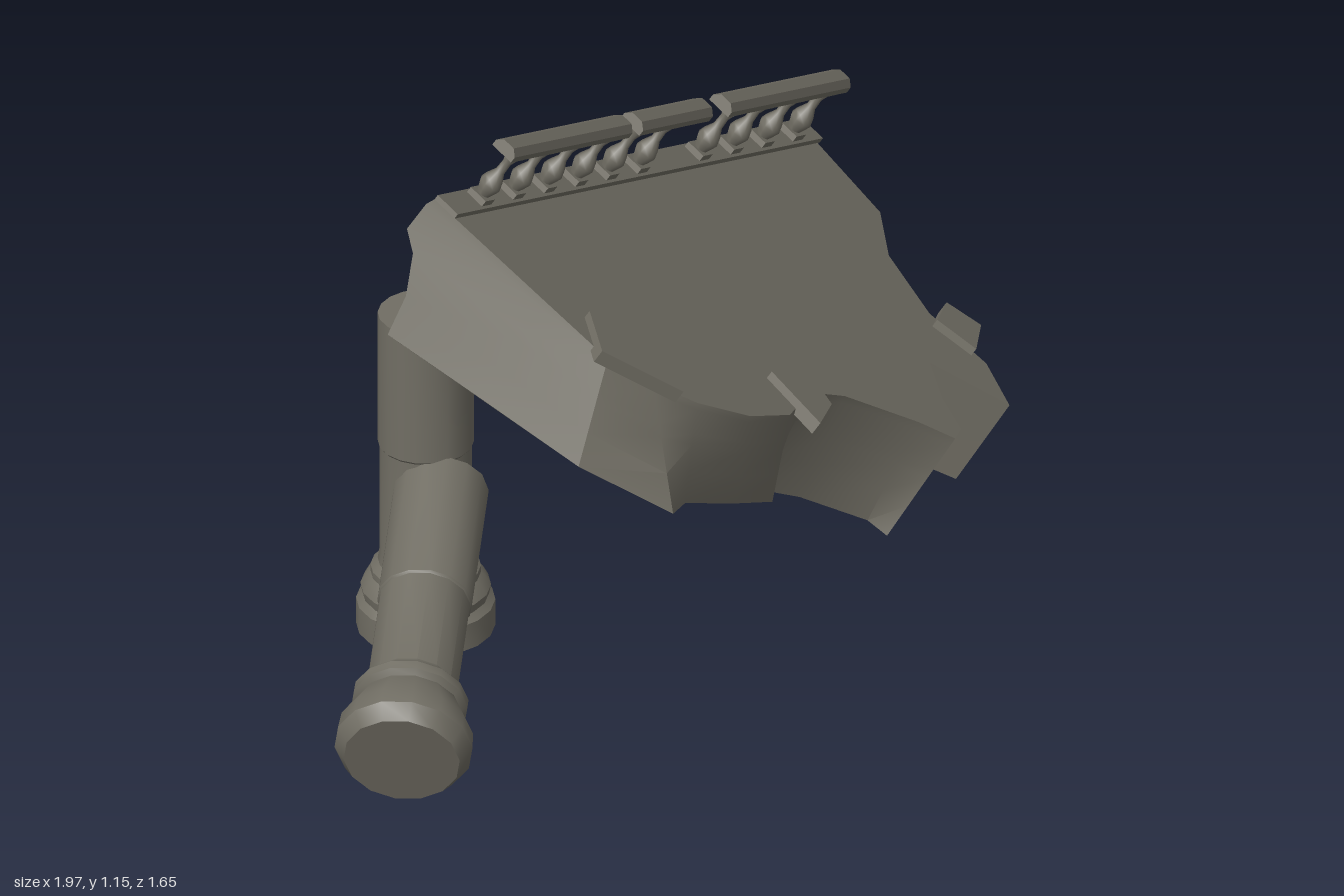
import * as THREE from 'three';
import { toCreasedNormals } from 'three/addons/utils/BufferGeometryUtils.js';

const V = (x, y, z) => new THREE.Vector3(x, y, z);

export function createModel() {
  const model = new THREE.Group();
  const stone = new THREE.MeshStandardMaterial({ color: 0x716e64 });
  stone.name = 'weathered stone';

  const add = (parent, name, geo) => {
    const mesh = new THREE.Mesh(geo, stone);
    mesh.name = name;
    parent.add(mesh);
    return mesh;
  };
  const lathe = (profile, sides) => new THREE.LatheGeometry(
    profile.map(([r, y]) => new THREE.Vector2(r, y)), sides);

  // Tilted terrace frame: x along the railing, y out of the floor, z toward the broken edge
  const origin = V(-0.45, 1.05, 0.12);
  const u = V(0.771, -0.36, -0.526).normalize();
  const n = V(0.533, 0.817, 0.222);
  n.addScaledVector(u, -n.dot(u)).normalize();
  const frame = new THREE.Matrix4().makeBasis(u, n, u.clone().cross(n)).setPosition(origin);
  const inverse = frame.clone().invert();
  const terrace = new THREE.Group();
  terrace.name = 'terrace';
  terrace.applyMatrix4(frame);
  model.add(terrace);
  const floorPoint = (x, z) => {
    const y = origin.y - (n.x * (x - origin.x) + n.z * (z - origin.z)) / n.y;
    return V(x, y, z).applyMatrix4(inverse);
  };

  // Broken rim: floor x, z, then the matching underside point x, y, z
  const rim = [
    [-0.33, 0.36, -0.47, 0.70, 0.32], [-0.26, 0.50, -0.35, 0.61, 0.54],
    [-0.17, 0.53, -0.17, 0.49, 0.62], [-0.07, 0.54, -0.11, 0.47, 0.56],
    [0.07, 0.51, 0.04, 0.40, 0.50], [0.20, 0.44, 0.17, 0.33, 0.42],
    [0.32, 0.31, 0.20, 0.28, 0.27], [0.42, 0.27, 0.33, 0.21, 0.24],
    [0.60, 0.26, 0.50, 0.10, 0.22], [0.68, 0.27, 0.53, 0.07, 0.25],
    [0.72, 0.22, 0.58, 0.11, 0.16], [0.73, 0.12, 0.62, 0.13, 0.07],
    [0.77, -0.01, 0.67, 0.10, -0.04], [0.93, 0.04, 0.82, 0.01, 0.01],
    [0.95, -0.10, 0.84, 0.03, -0.15], [0.88, -0.22, 0.78, 0.10, -0.28],
    [0.88, -0.40, 0.77, 0.12, -0.46], [0.95, -0.57, 0.80, 0.11, -0.60],
  ];
  // Cornice section along the railing side: depth below the floor, inset
  const cornice = [[0, -0.02], [0.02, -0.028], [0.09, -0.028], [0.12, 0.015], [0.2, 0.06], [0.29, 0.08]];
  const length = 1.75;
  const rings = cornice.map(([depth, inset]) => [
    V(0, -depth, inset),
    ...rim.map(([x, z, bx, by, bz]) =>
      floorPoint(x, z).lerp(V(bx, by, bz).applyMatrix4(inverse), depth / 0.29)),
    V(length, -depth, inset),
  ]);
  const corners = [];
  const tri = (...p) => p.forEach((q) => corners.push(q.x, q.y, q.z));
  const top = rings[0], bottom = rings[rings.length - 1];
  for (const [a, b, c] of THREE.ShapeUtils.triangulateShape(top.map((p) => new THREE.Vector2(p.x, -p.z)), [])) {
    tri(top[a], top[b], top[c]);
    tri(bottom[c], bottom[b], bottom[a]);
  }
  for (let k = 0; k + 1 < rings.length; k++) {
    for (let i = 0; i < top.length; i++) {
      const j = (i + 1) % top.length, hi = rings[k], lo = rings[k + 1];
      tri(lo[i], lo[j], hi[j]);
      tri(lo[i], hi[j], hi[i]);
    }
  }
  const slab = new THREE.BufferGeometry();
  slab.setAttribute('position', new THREE.Float32BufferAttribute(corners, 3));
  add(terrace, 'brokenSlab', toCreasedNormals(slab, 0.6));

  // Loose shards resting on the floor
  const shards = [
    [[-0.24, 0.36], [-0.29, 0.51], [-0.12, 0.55], [-0.09, 0.40]],
    [[0.21, 0.32], [0.25, 0.46], [0.33, 0.36], [0.33, 0.27]],
    [[0.86, -0.17], [0.92, -0.11], [0.99, -0.22], [0.93, -0.26]],
  ];
  for (const pts of shards) {
    const shape = new THREE.Shape(pts.map(([x, z]) => {
      const p = floorPoint(x, z);
      return new THREE.Vector2(p.x, -p.z);
    }));
    const geo = new THREE.ExtrudeGeometry(shape, { depth: 0.03, bevelEnabled: false });
    geo.rotateX(-Math.PI / 2).translate(0, -0.012, 0);
    add(terrace, 'shard', geo);
  }

  // Railing: curb, balusters and three surviving lengths of handrail
  const curb = add(terrace, 'curb', new THREE.BoxGeometry(length, 0.012, 0.06));
  curb.position.set(length / 2, 0.006, 0.01);
  const balusterGeo = lathe([[0.013, 0.015], [0.02, 0.03], [0.026, 0.045], [0.022, 0.058],
    [0.011, 0.08], [0.01, 0.105], [0.017, 0.125], [0.017, 0.135]], 8);
  const footGeo = new THREE.BoxGeometry(0.045, 0.016, 0.045);
  const capGeo = new THREE.BoxGeometry(0.04, 0.014, 0.04);
  for (let i = 0; i < 11; i++) {
    if (i === 6) continue;
    const baluster = new THREE.Group();
    baluster.name = 'baluster';
    baluster.position.set(0.15 + 0.149 * i, 0.008, 0.01);
    add(baluster, 'balusterStem', balusterGeo);
    add(baluster, 'balusterFoot', footGeo).position.y = 0.01;
    add(baluster, 'balusterCap', capGeo).position.y = 0.134;
    terrace.add(baluster);
  }
  const railSection = new THREE.Shape([[-0.028, 0], [0.028, 0], [0.028, 0.014], [0.014, 0.027],
    [-0.014, 0.027], [-0.028, 0.014]].map(([x, y]) => new THREE.Vector2(x, y)));
  for (const [from, to] of [[0.08, 0.645], [0.695, 1.03], [1.12, 1.69]]) {
    const geo = new THREE.ExtrudeGeometry(railSection, { depth: to - from, bevelEnabled: false });
    geo.rotateY(Math.PI / 2);
    add(terrace, 'handrail', geo).position.set(from, 0.146, 0.01);
  }

  // Standing column
  const standing = add(model, 'standingColumn', toCreasedNormals(lathe([
    [0, 0], [0.145, 0], [0.145, 0.06], [0.132, 0.075], [0.136, 0.095], [0.125, 0.115], [0.115, 0.125],
    [0.115, 0.14], [0.1, 0.155], [0.096, 0.18], [0.096, 0.43], [0.1, 0.435], [0.1, 0.74], [0, 0.74],
  ], 18), 0.6));
  standing.position.set(-0.465, 0.04, 0.08);

  // Fallen column, lying on its flared capital with a jagged far end
  const start = V(-0.87, 0.145, 0.735), axis = V(-0.46, 0.39, 0.14).sub(start);
  const total = axis.length();
  const fallenGeo = lathe([
    [0, 0], [0.122, 0], [0.145, 0.035], [0.142, 0.075], [0.115, 0.13], [0.11, 0.14], [0.122, 0.15],
    [0.122, 0.17], [0.105, 0.185], [0.096, 0.2], [0.096, 0.44], [0.1, 0.445], [0.1, total], [0, total],
  ], 14);
  const pos = fallenGeo.attributes.position;
  for (let i = 0; i < pos.count; i++) {
    if (pos.getY(i) < total - 0.01) continue;
    const x = pos.getX(i) * 10, z = pos.getZ(i) * 10;
    pos.setY(i, total + 0.03 * x * z - 0.025 * x);
  }
  const fallen = add(model, 'fallenColumn', toCreasedNormals(fallenGeo, 0.6));
  fallen.position.copy(start);
  fallen.quaternion.setFromUnitVectors(V(0, 1, 0), axis.normalize());

  return model;
}
